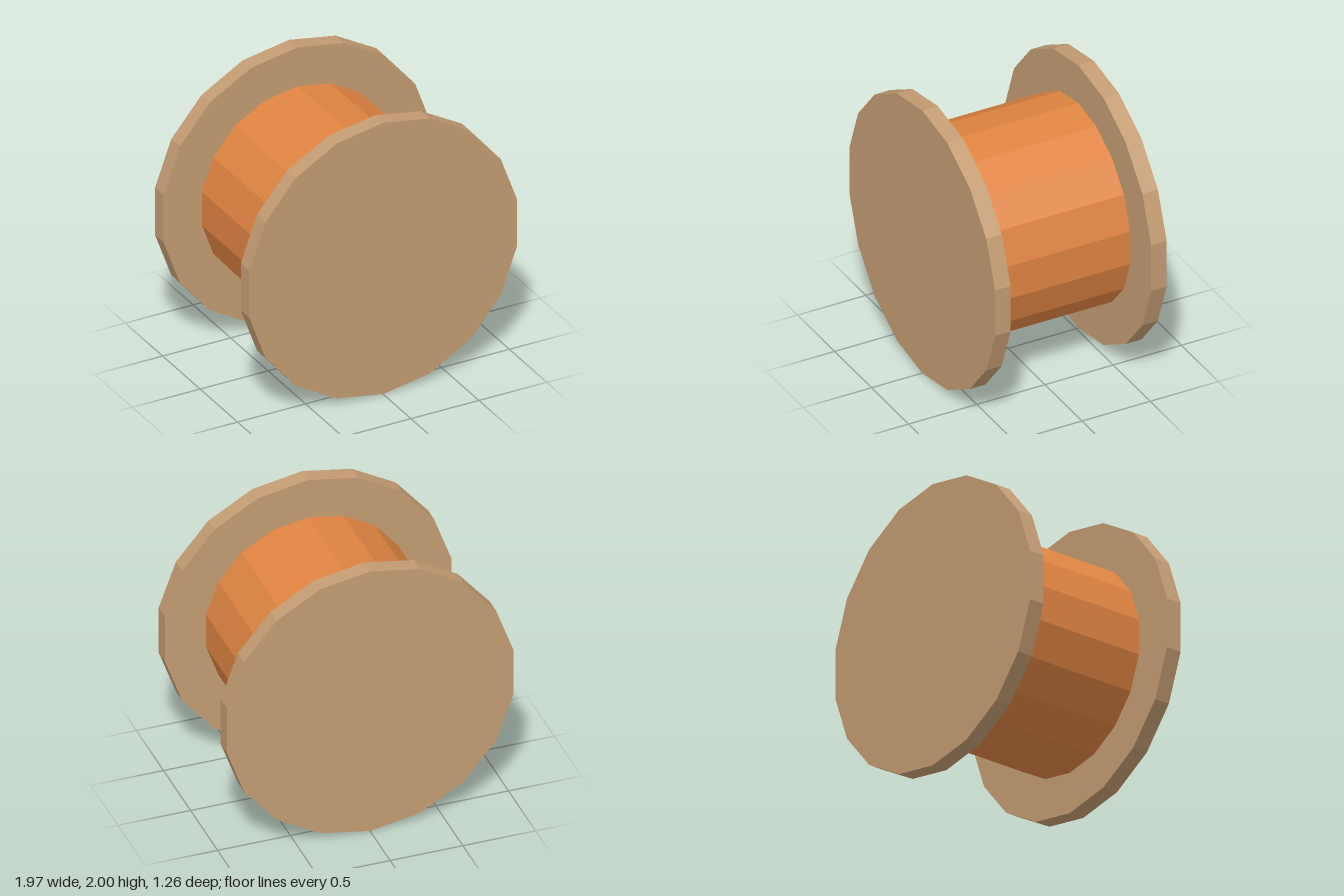
import * as THREE from 'three';

export function createModel() {
  const model = new THREE.Group();
  model.name = 'cableSpool';

  const wood = new THREE.MeshStandardMaterial({ color: 0xc49c73, flatShading: true });
  wood.name = 'tan wood';
  const copper = new THREE.MeshStandardMaterial({ color: 0xe08442, flatShading: true });
  copper.name = 'copper orange';

  // 18-sided disc lying along z, with a corner pointing straight up
  const addDisc = (name, radius, depth, z, material) => {
    const geometry = new THREE.CylinderGeometry(radius, radius, depth, 18);
    geometry.rotateX(Math.PI / 2);
    const mesh = new THREE.Mesh(geometry, material);
    mesh.name = name;
    mesh.position.set(0, 1, z);
    model.add(mesh);
  };

  // Wound core, its ends tucked inside the flanges
  addDisc('woundCore', 0.713, 1.1, 0, copper);

  // End flanges
  addDisc('frontFlange', 1, 0.114, 0.572, wood);
  addDisc('backFlange', 1, 0.114, -0.572, wood);

  return model;
}
